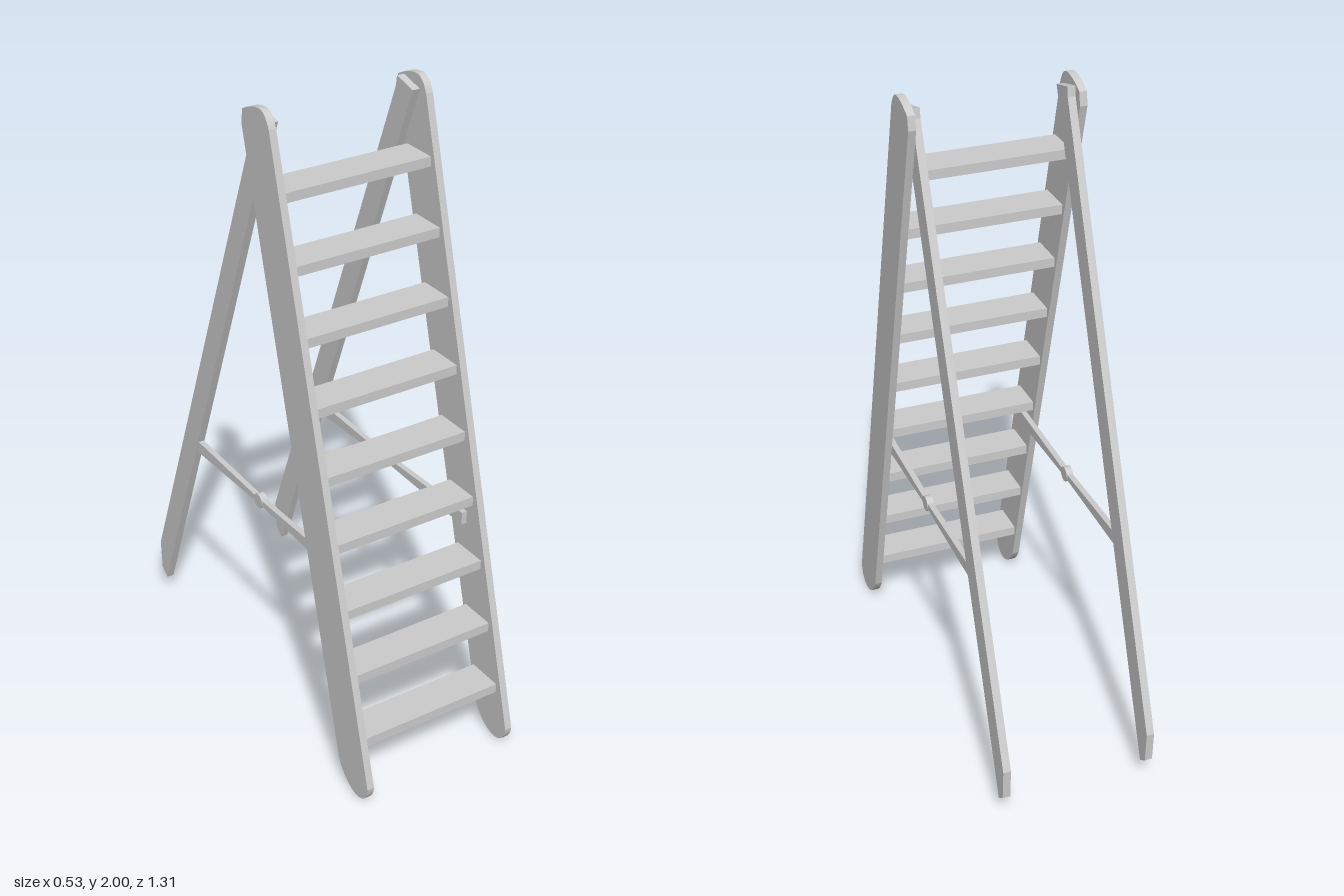
import * as THREE from 'three';

const material = new THREE.MeshStandardMaterial({ color: 0xcccccc });

// Side profile drawn in (z, y), extruded along x between x0 and x1
function sidePlate(name, shape, x0, x1) {
  const geo = new THREE.ExtrudeGeometry(shape, { depth: x1 - x0, bevelEnabled: false, curveSegments: 8 });
  geo.rotateY(-Math.PI / 2);
  geo.translate(x1, 0, 0);
  const mesh = new THREE.Mesh(geo, material);
  mesh.name = name;
  return mesh;
}

const polygon = (pts) => new THREE.Shape(pts.map(([z, y]) => new THREE.Vector2(z, y)));

// Wide front rail with rounded ends
function railShape() {
  const s = new THREE.Shape();
  s.moveTo(0.657, 0.06);
  s.lineTo(0.148, 1.955);
  s.quadraticCurveTo(0.13, 2.0, 0.1, 2.0);
  s.quadraticCurveTo(0.06, 2.0, 0.01, 1.972);
  s.lineTo(0.004, 1.93);
  s.lineTo(0.503, 0.075);
  s.quadraticCurveTo(0.54, 0.005, 0.6, 0);
  s.quadraticCurveTo(0.652, 0.005, 0.657, 0.06);
  return s;
}

export function createModel() {
  const group = new THREE.Group();
  group.name = 'stepladder';

  // Narrow rear leg with chamfered ends
  const legShape = polygon([
    [0.118, 1.96], [0.04, 1.98], [0.036, 1.95], [-0.657, 0.18],
    [-0.652, 0.08], [-0.62, 0.055],
  ]);

  // Folding brace: two arms tapering toward the hinge
  const hingeZ = 0.01, braceY = 0.71, reach = 0.41;
  const braceShape = polygon([
    [hingeZ + reach, braceY + 0.021], [hingeZ, braceY + 0.009], [hingeZ - reach, braceY + 0.021],
    [hingeZ - reach, braceY - 0.021], [hingeZ, braceY - 0.009], [hingeZ + reach, braceY - 0.021],
  ]);

  for (const side of [1, -1]) {
    const label = side > 0 ? 'left' : 'right';
    const plate = (part, shape, a, b) => group.add(
      sidePlate(label + part, shape, Math.min(side * a, side * b), Math.max(side * a, side * b)));
    plate('FrontRail', railShape(), 0.242, 0.265);
    plate('RearLeg', legShape, 0.218, 0.242);
    plate('Brace', braceShape, 0.221, 0.239);

    // Hinge knuckle in the middle of the brace
    const hinge = new THREE.Mesh(new THREE.CylinderGeometry(0.024, 0.024, 0.022, 12), material);
    hinge.rotation.z = Math.PI / 2;
    hinge.position.set(side * 0.23, braceY, hingeZ);
    hinge.name = label + 'BraceHinge';
    group.add(hinge);
  }

  // Nine level treads following the slope of the rails
  const treadGeo = new THREE.BoxGeometry(0.484, 0.03, 0.116);
  for (let i = 0; i < 9; i++) {
    const tread = new THREE.Mesh(treadGeo, material);
    tread.position.set(0, 0.185 + i * 0.1975, 0.542 - i * 0.0525);
    tread.name = 'tread' + (i + 1);
    group.add(tread);
  }

  return group;
}
